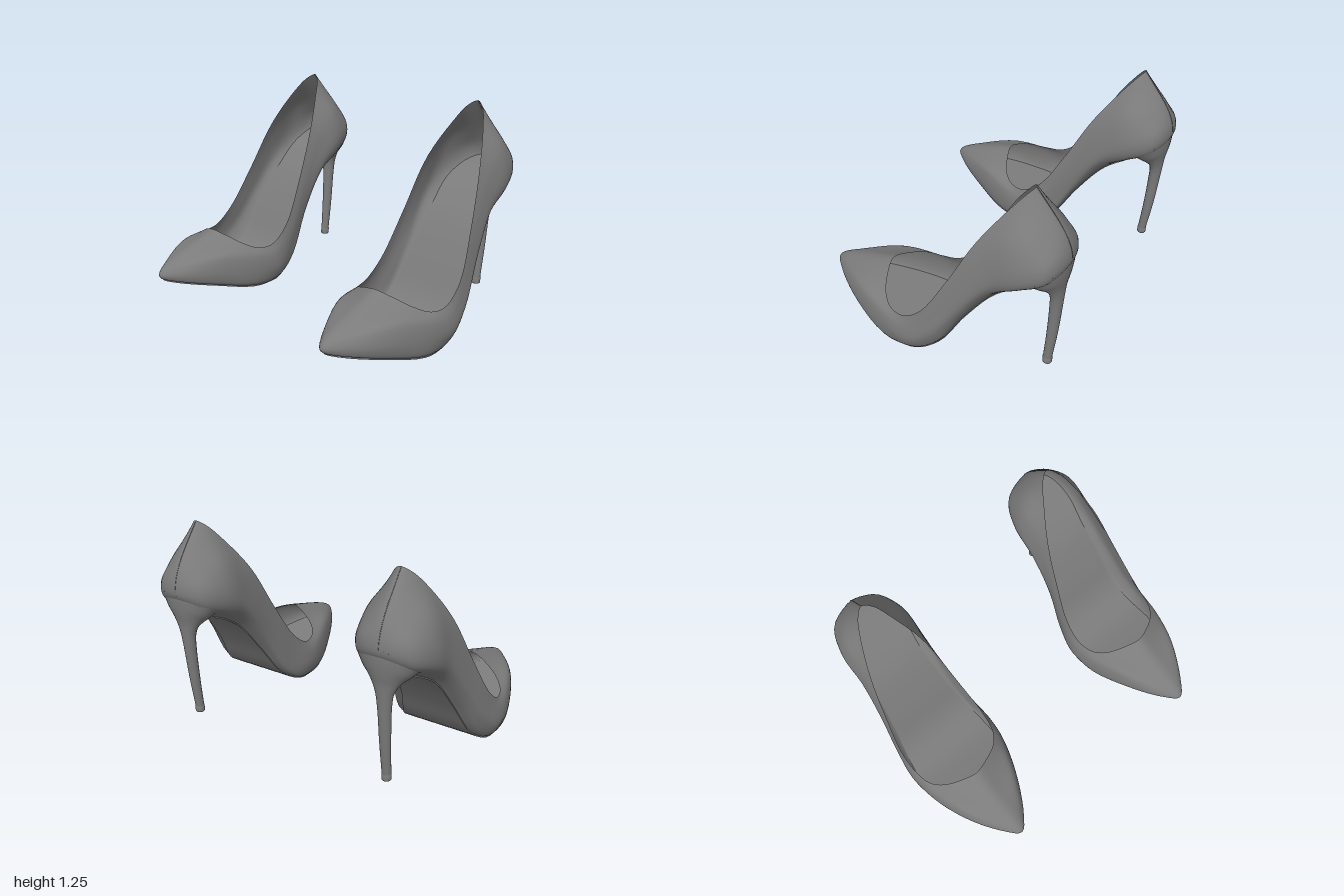
import * as THREE from 'three';

const CENTER = 0.66, N = 88, HALF = N / 2;

// Each line runs from toe to heel: [z, y, inner x, outer x]
const UNDER = [[.77, .145, .68, .68], [.7, .122, .615, .75], [.5, .073, .5, .87], [.25, .014, .41, .95],
  [.05, .013, .41, .94], [-.1, .105, .45, .895], [-.25, .34, .51, .84], [-.42, .565, .535, .805],
  [-.55, .655, .565, .77], [-.61, .675, .61, .715], [-.63, .678, .66, .66]];
const FEATHER = [[.787, .153, .68, .68], [.712, .132, .605, .758], [.5, .085, .487, .882], [.25, .035, .395, .965],
  [.05, .032, .39, .96], [-.1, .13, .415, .93], [-.25, .38, .45, .895], [-.42, .615, .468, .865],
  [-.6, .74, .46, .868], [-.735, .8, .515, .815], [-.785, .84, .66, .66]];
const WALL = [[.797, .175, .68, .68], [.715, .17, .598, .765], [.5, .15, .475, .895], [.25, .12, .385, .975],
  [.07, .1, .367, .993], [-.08, .2, .4, .97], [-.25, .45, .43, .925], [-.42, .68, .432, .893],
  [-.6, .83, .435, .885], [-.745, .9, .51, .815], [-.794, .9, .66, .66]];
const UPPER = [[.768, .212, .68, .68], [.675, .227, .605, .76], [.465, .25, .48, .885], [.25, .215, .4, .96],
  [.1, .19, .375, .985], [-.06, .29, .395, .965], [-.22, .55, .425, .92], [-.4, .84, .45, .875],
  [-.58, 1.0, .475, .845], [-.7, 1.02, .555, .765], [-.755, 1.02, .66, .66]];
const RIM = [[.36, .36, .68, .68], [.338, .34, .6, .76], [.275, .288, .48, .875], [.2, .255, .425, .935],
  [.1, .26, .402, .958], [-.03, .36, .405, .955], [-.18, .61, .435, .91], [-.34, .92, .48, .845],
  [-.48, 1.13, .56, .765], [-.55, 1.22, .61, .71], [-.58, 1.25, .66, .66]];

// Heel sections: [y, z, half depth, half width, rise towards the back]
const HEEL = [[.09, -.681, .026, .026, 0], [.3, -.703, .031, .032, 0], [.5, -.717, .035, .038, 0],
  [.6, -.722, .038, .05, .01], [.655, -.72, .045, .072, .02], [.69, -.711, .063, .098, .035],
  [.725, -.7, .081, .135, .05], [.755, -.69, .094, .16, .065], [.775, -.682, .102, .176, .07]];
const TIP = [[.05, -.68, .001, .001, 0], [.05, -.68, .025, .025, 0], [.055, -.68, .028, .028, 0],
  [.09, -.681, .028, .028, 0], [.093, -.681, .02, .02, 0]];

// Smooth closed loop around the shoe: outer side to the heel, inner side back
function loop(line) {
  const outer = line.map(([z, y, , x]) => new THREE.Vector3(x, y, z));
  const inner = line.slice(1, -1).reverse().map(([z, y, x]) => new THREE.Vector3(x, y, z));
  const curve = new THREE.CatmullRomCurve3([...outer, ...inner], true);
  return Array.from({ length: N }, (_, k) => curve.getPoint(k / N));
}

// Smooth curves rising through matching points of stacked loops
const risingCurves = loops => loops[0].map((_, k) => new THREE.CatmullRomCurve3(loops.map(l => l[k])));

const curveRows = (curves, steps) =>
  Array.from({ length: steps + 1 }, (_, j) => curves.map(c => c.getPoint(j / steps)));

// Rows spanning a loop from its inner to its outer side
function spanRows(ring, steps) {
  const outer = ring.slice(0, HALF + 1);
  return Array.from({ length: steps + 1 }, (_, j) =>
    outer.map((p, k) => ring[(N - k) % N].clone().lerp(p, j / steps)));
}

// Elliptical heel sections, each tilted up towards the back
function heelRows(sections) {
  return sections.map(([y, z, d, w, rise]) => Array.from({ length: 32 }, (_, k) => {
    const a = k / 32 * Math.PI * 2;
    return new THREE.Vector3(CENTER + w * Math.sin(a), y - rise * Math.cos(a), z + d * Math.cos(a));
  }));
}

function part(name, geometry) {
  const material = new THREE.MeshStandardMaterial({ color: 0x7b7b7b, side: THREE.DoubleSide });
  const mesh = new THREE.Mesh(geometry, material);
  mesh.name = name;
  return mesh;
}

function skin(name, rows, closed, side) {
  const n = rows[0].length, positions = [], index = [];
  rows.flat().forEach(p => positions.push(p.x * side, p.y, p.z));
  const tri = (a, b, c) => side > 0 ? index.push(a, b, c) : index.push(a, c, b);
  for (let j = 0; j < rows.length - 1; j++) {
    for (let k = 0; k < (closed ? n : n - 1); k++) {
      const a = j * n + k, b = j * n + (k + 1) % n;
      tri(a, b, a + n);
      tri(b, b + n, a + n);
    }
  }
  const geometry = new THREE.BufferGeometry();
  geometry.setAttribute('position', new THREE.Float32BufferAttribute(positions, 3));
  geometry.setIndex(index);
  geometry.computeVertexNormals();
  return part(name, geometry);
}

function createShoe(name, side) {
  const shoe = new THREE.Group();
  shoe.name = name;
  const loops = [UNDER, FEATHER, WALL, UPPER, RIM].map(loop);
  const walls = risingCurves(loops);
  const ground = loops[0].map(p => new THREE.Vector3(p.x, Math.max(0, p.y - 0.009), p.z));
  // Insole edge follows the inside of the walls, climbing at the heel
  const insoleEdge = walls.map((c, k) => c.getPoint(0.17 + 0.28 * (Math.min(k, N - k) / HALF) ** 5));
  // Stitched seam down the middle of the back
  const seam = new THREE.CatmullRomCurve3([0.3, 0.5, 0.65, 0.8, 1].map(t => {
    const p = walls[HALF].getPoint(t);
    return p.setX(p.x * side);
  }));
  shoe.add(
    skin('upper', curveRows(walls, 28), true, side),
    skin('soleEdge', [ground, loops[0]], true, side),
    skin('sole', spanRows(ground, 8), false, side),
    skin('insole', spanRows(insoleEdge, 8).reverse(), false, side),
    part('backSeam', new THREE.TubeGeometry(seam, 24, 0.002, 6)),
    // Stiletto heel flaring into the heel seat
    skin('heel', curveRows(risingCurves(heelRows(HEEL)), 40), true, side),
    skin('heelTip', heelRows(TIP), true, side)
  );
  return shoe;
}

export function createModel() {
  const model = new THREE.Group();
  model.name = 'highHeeledShoes';
  model.add(createShoe('leftShoe', 1), createShoe('rightShoe', -1));
  return model;
}
